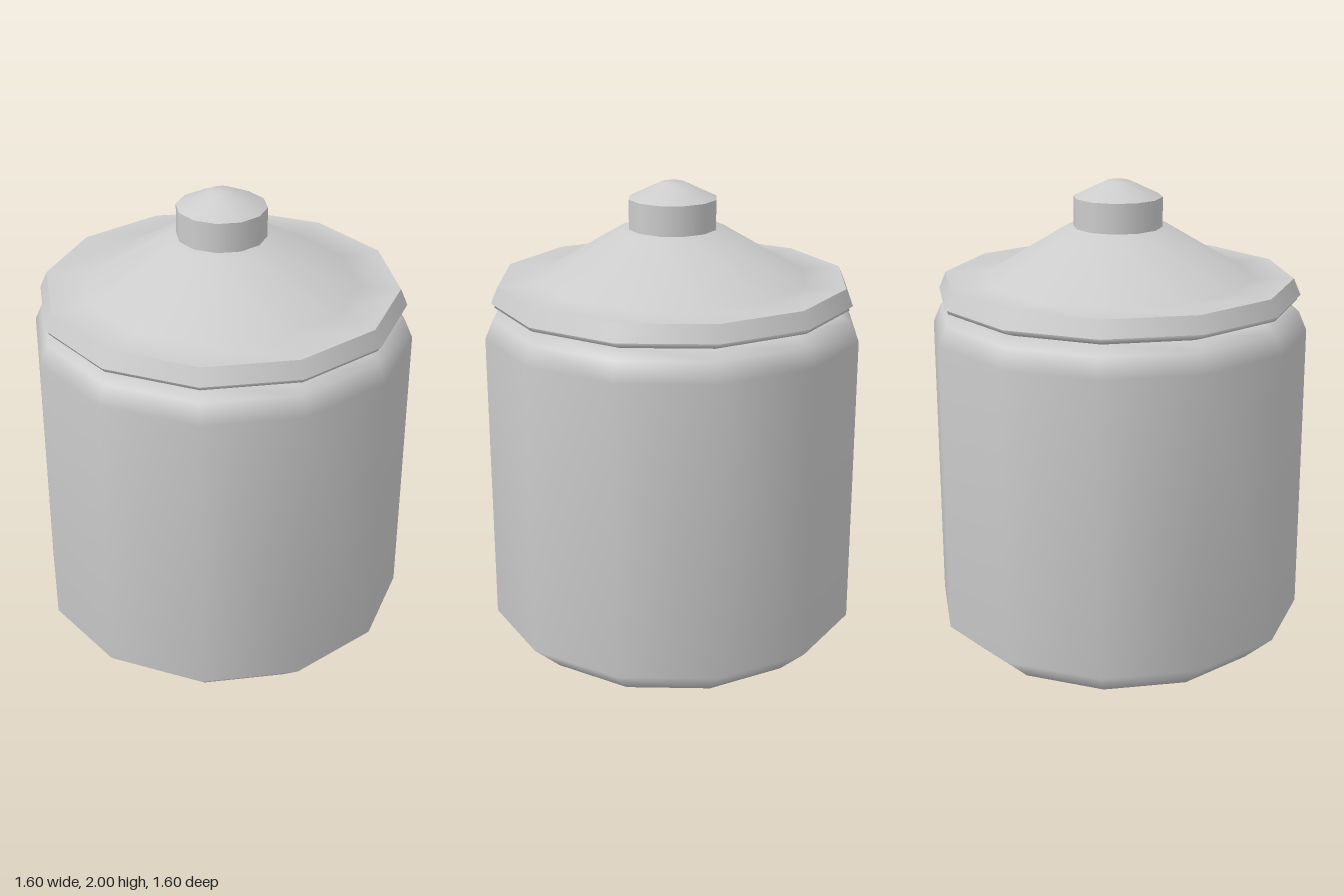
import * as THREE from 'three';

const SIDES = 12;

export function createModel() {
  const group = new THREE.Group();
  const ceramic = new THREE.MeshStandardMaterial({ color: 0xcccccc });
  ceramic.name = 'greyCeramic';

  // Each profile runs from bottom to top as [radius, height]
  function turned(name, profile) {
    const points = profile.map(([r, y]) => new THREE.Vector2(r, y));
    const mesh = new THREE.Mesh(new THREE.LatheGeometry(points, SIDES), ceramic);
    mesh.name = name;
    group.add(mesh);
  }

  // Jar with bevelled foot and rounded shoulder
  turned('jarBody', [[0, 0], [0.67, 0], [0.8, 0.12], [0.8, 1.38], [0.765, 1.46], [0.7, 1.495], [0, 1.495]]);

  // Lip beneath the lid
  turned('lidLip', [[0.64, 1.47], [0.757, 1.512], [0.735, 1.535]]);

  // Overhanging rim with sharp edges
  turned('lidRimUnderside', [[0.7, 1.53], [0.77, 1.53]]);
  turned('lidRim', [[0.77, 1.53], [0.74, 1.6]]);

  // Flat ring rising into the conical lid
  turned('lidTop', [[0.74, 1.6], [0.57, 1.6], [0.22, 1.81], [0, 1.81]]);

  // Knob with low domed cap
  turned('knobSide', [[0.187, 1.79], [0.187, 1.935]]);
  turned('knobCap', [[0.187, 1.935], [0.05, 2], [0, 2]]);

  return group;
}
